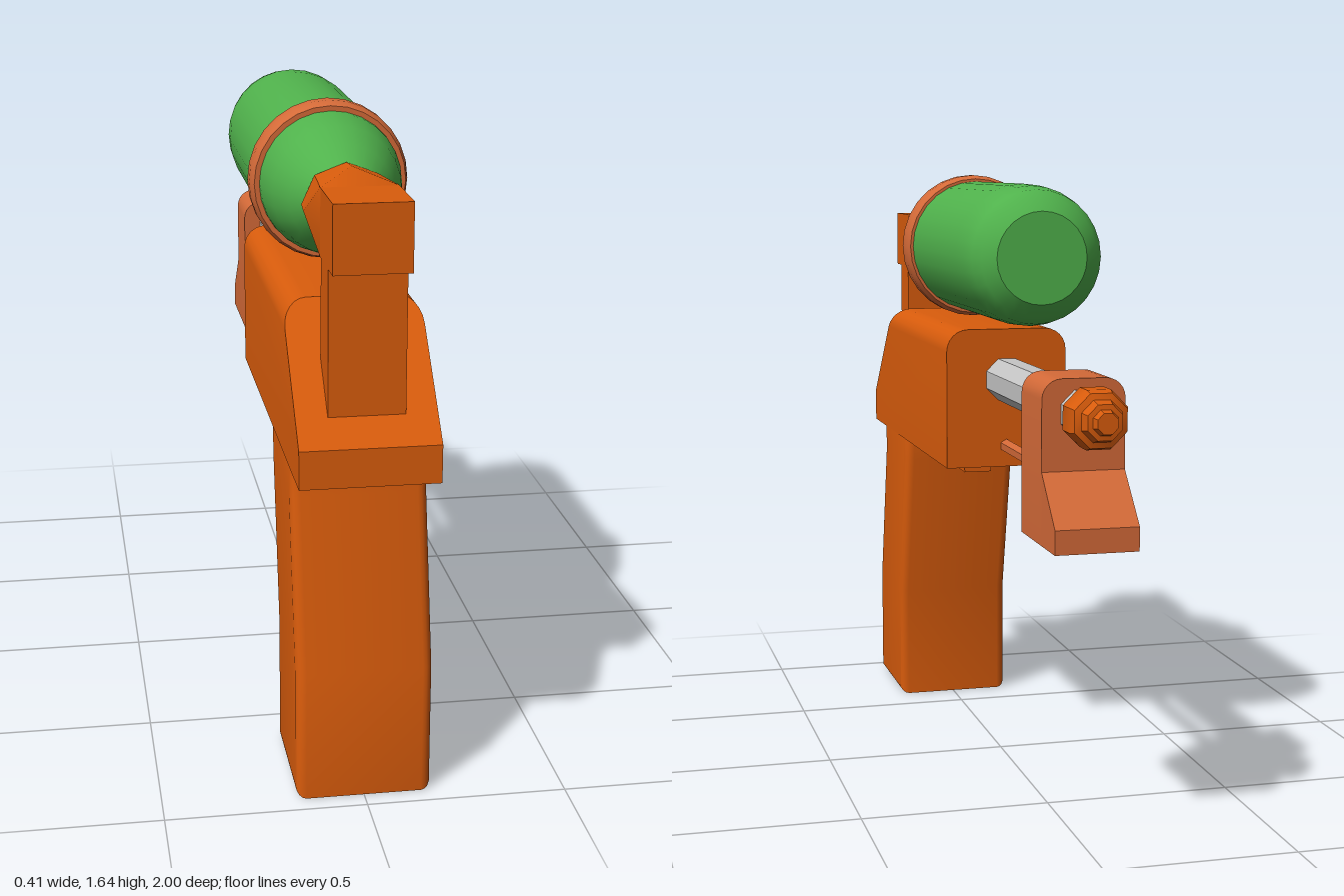
import * as THREE from 'three';
import { toCreasedNormals } from 'three/addons/utils/BufferGeometryUtils.js';
import { ConvexGeometry } from 'three/addons/geometries/ConvexGeometry.js';

const mat = (name, color) => {
  const m = new THREE.MeshStandardMaterial({ color });
  m.name = name;
  return m;
};

const V = (x, y, z) => new THREE.Vector3(x, y, z);

// Convex solid with sharp edges kept and small roundings smoothed
const hull = (points) => toCreasedNormals(new ConvexGeometry(points), 0.5);

// Side outline given as [z, y], centred across x, with optional rounded edges
function sideExtrude(outline, width, bevel = 0) {
  const shape = new THREE.Shape(outline.map(([z, y]) => new THREE.Vector2(z, y)));
  const depth = width - 2 * bevel;
  const g = new THREE.ExtrudeGeometry(shape, {
    depth, bevelEnabled: bevel > 0, bevelThickness: bevel, bevelSize: bevel,
    bevelOffset: -bevel, bevelSegments: 4,
  });
  g.translate(0, 0, -depth / 2);
  g.rotateY(-Math.PI / 2);
  return toCreasedNormals(g, 0.5);
}

// Turned shape along z from [radius, z], in order of rising z
function turned(profile, y, segments, crease, twist = 0) {
  const g = new THREE.LatheGeometry(profile.map(([r, z]) => new THREE.Vector2(r, z)), segments);
  g.rotateY(twist);
  g.rotateX(Math.PI / 2);
  g.translate(0, y, 0);
  return toCreasedNormals(g, crease);
}

// Upright section with rounded top corners, as [x, y]
function archSection(halfW, bottom, top, r) {
  const pts = [[halfW, bottom]];
  for (let i = 0; i <= 6; i++) {
    const a = (i / 6) * Math.PI / 2;
    pts.push([halfW - r + r * Math.cos(a), top - r + r * Math.sin(a)]);
  }
  return pts.flatMap(([x, y]) => [[x, y], [-x, y]]);
}

export function createModel() {
  const group = new THREE.Group();
  group.name = 'waterBlaster';
  const orange = mat('orange plastic', 0xd95c0c);
  const copper = mat('light orange plastic', 0xd46a38);
  const green = mat('green tank', 0x50b24c);
  const grey = mat('grey tube', 0xc6c6c6);

  const add = (name, geometry, material) => {
    const m = new THREE.Mesh(geometry, material);
    m.name = name;
    group.add(m);
  };
  const box = (name, material, x, y0, y1, z0, z1) => {
    const g = new THREE.BoxGeometry(2 * x, y1 - y0, z1 - z0);
    g.translate(0, (y0 + y1) / 2, (z0 + z1) / 2);
    add(name, g, material);
  };

  // Body: rounded top, sloped at the +z end
  const section = [...archSection(0.17, 0.835, 1.22, 0.06), [0.17, 0.93], [-0.17, 0.93]];
  add('body', hull(section.flatMap(([x, y]) => [
    V(x, y, -0.065), V(x, y, Math.min(1, 1.93 - y)),
  ])), orange);

  // Grip
  add('grip', sideExtrude([
    [0.615, 0], [0.95, 0], [0.95, 0.335], [0.85, 0.76], [0.85, 0.88],
    [0.51, 0.88], [0.51, 0.77], [0.615, 0.335],
  ], 0.338, 0.025), orange);

  // Trigger and its guard
  add('trigger', sideExtrude([
    [0.52, 0.79], [0.52, 0.84], [0.465, 0.84], [0.43, 0.805], [0.43, 0.79],
  ], 0.06), orange);
  add('triggerGuard', sideExtrude([
    [0.275, 0.84], [0.275, 0.765], [0.53, 0.765], [0.53, 0.776], [0.298, 0.776], [0.298, 0.84],
  ], 0.08), orange);

  // Feed post and tank neck
  box('feedPost', orange, 0.093, 0.985, 1.36, 0.83, 0.94);
  box('neckBlock', orange, 0.093, 1.345, 1.51, 0.8, 1);
  const neck = [];
  for (const x of [-0.093, 0.093]) for (const y of [1.345, 1.51]) neck.push(V(x, y, 0.82));
  for (const [z, r] of [[0.7, 0.105], [0.63, 0.1]]) {
    for (let i = 0; i < 8; i++) {
      const a = i * Math.PI / 4;
      neck.push(V(1.1 * r * Math.cos(a), 1.43 + r * Math.sin(a), z));
    }
  }
  add('tankNeck', hull(neck), orange);

  // Tank and its band
  add('tank', turned([
    [0, -0.43], [0.12, -0.43], [0.155, -0.405], [0.174, -0.375], [0.183, -0.32], [0.187, -0.24],
    [0.187, 0.3], [0.181, 0.41], [0.163, 0.5], [0.132, 0.57], [0.092, 0.63], [0, 0.63],
  ], 1.432, 28, 0.55), green);
  add('tankBand', turned([
    [0.18, 0.295], [0.195, 0.295], [0.2, 0.305], [0.205, 0.325],
    [0.205, 0.36], [0.2, 0.38], [0.195, 0.39], [0.18, 0.39],
  ], 1.432, 28, 0.5), copper);

  // Barrel and pump rod
  add('barrel', turned([[0, -0.87], [0.062, -0.87], [0.062, -0.05], [0, -0.05]],
    1.08, 8, 0.5, Math.PI / 8), grey);
  add('pumpRod', turned([[0, -0.64], [0.019, -0.64], [0.019, -0.05], [0, -0.05]],
    0.893, 6, 0.5), copper);

  // Sliding pump handle with flared foot
  add('pumpHandle', hull(archSection(0.105, 0.76, 1.165, 0.05).flatMap(([x, y]) => [
    V(x, y, -0.805), V(x, y, -0.62),
  ])), copper);
  add('pumpFoot', sideExtrude([
    [-0.79, 0.76], [-0.79, 0.94], [-0.805, 0.94], [-0.925, 0.82], [-0.925, 0.76],
  ], 0.21), copper);

  // Stepped nozzle
  add('nozzle', turned([
    [0, -1], [0.027, -1], [0.033, -0.98], [0.046, -0.978], [0.054, -0.95],
    [0.07, -0.945], [0.077, -0.925], [0.077, -0.868], [0.07, -0.853], [0, -0.853],
  ], 1.08, 8, 0.5, Math.PI / 8), orange);

  return group;
}
